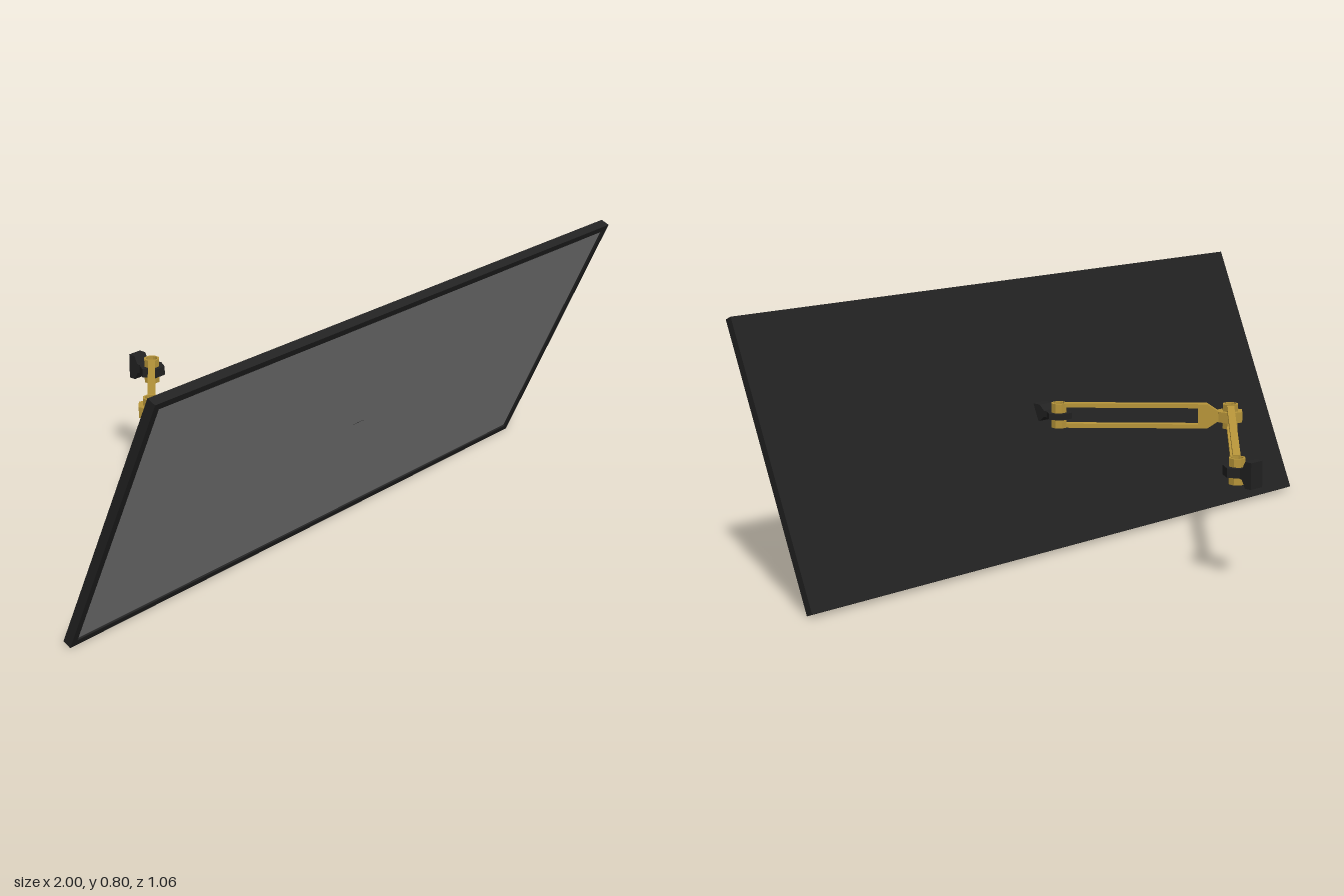
import * as THREE from 'three';

const black = new THREE.MeshStandardMaterial({ color: 0x222222, flatShading: true });
const gold = new THREE.MeshStandardMaterial({ color: 0xb8963a, flatShading: true });
const screenGrey = new THREE.MeshStandardMaterial({ color: 0x808080 });

function add(parent, name, geometry, material, x = 0, y = 0, z = 0) {
  const mesh = new THREE.Mesh(geometry, material);
  mesh.name = name;
  mesh.position.set(x, y, z);
  parent.add(mesh);
  return mesh;
}

// Upright polygonal ring, centred on its own height
function ringGeometry(radius, holeRadius, height, sides, turn = 0) {
  const points = Array.from({ length: sides }, (_, i) => {
    const a = turn + (i / sides) * Math.PI * 2;
    return new THREE.Vector2(Math.cos(a) * radius, Math.sin(a) * radius);
  });
  const shape = new THREE.Shape(points);
  const hole = new THREE.Path();
  hole.absarc(0, 0, holeRadius, 0, Math.PI * 2, true);
  shape.holes.push(hole);
  return new THREE.ExtrudeGeometry(shape, { depth: height, bevelEnabled: false, curveSegments: 6 })
    .translate(0, 0, -height / 2).rotateX(-Math.PI / 2);
}

// Hexagonal eye with a flared foot; profile lists [distance from pin, half height]
function knuckle(name, pin, angle, eyeHeight, profile, width, material) {
  const group = new THREE.Group();
  group.name = name;
  add(group, name + 'Eye', ringGeometry(0.042, 0.022, eyeHeight, 6, Math.PI / 6), material);
  const outline = [
    ...profile.map(([d, h]) => new THREE.Vector2(d, -h)),
    ...[...profile].reverse().map(([d, h]) => new THREE.Vector2(d, h)),
  ];
  const foot = new THREE.ExtrudeGeometry(new THREE.Shape(outline), { depth: width, bevelEnabled: false });
  add(group, name + 'Foot', foot.translate(0, 0, -width / 2), material);
  group.position.copy(pin);
  group.rotation.y = angle;
  return group;
}

// Pair of parallel bars between two points, trimmed at each end
function barPair(name, from, to, trimFrom, trimTo) {
  const group = new THREE.Group();
  group.name = name;
  const span = to.clone().sub(from);
  const dir = span.clone().normalize();
  const a = from.clone().addScaledVector(dir, trimFrom);
  const b = to.clone().addScaledVector(dir, -trimTo);
  for (const side of [-1, 1]) {
    const offset = new THREE.Vector3(0, side * 0.032, 0);
    const mid = a.clone().add(b).multiplyScalar(0.5).add(offset);
    const bar = add(group, side > 0 ? 'upperBar' : 'lowerBar',
      new THREE.BoxGeometry(0.022, 0.013, a.distanceTo(b)), gold, mid.x, mid.y, mid.z);
    bar.lookAt(b.clone().add(offset));
  }
  return group;
}

export function createModel() {
  const model = new THREE.Group();
  model.name = 'displayOnWallArm';

  // Tilted display: back plate, raised bezel and inset screen
  const display = new THREE.Group();
  display.name = 'display';
  display.position.set(0, 0.404, 0.349);
  display.rotation.x = 0.411;
  const W = 2, H = 0.86, B = 0.02;
  add(display, 'backPlate', new THREE.BoxGeometry(W, H, 0.02), black, 0, 0, -0.004);
  add(display, 'screen', new THREE.PlaneGeometry(W - 2 * B, H - 2 * B), screenGrey, 0, 0, 0.0085);
  for (const s of [-1, 1]) {
    add(display, 'bezelSide', new THREE.BoxGeometry(B, H, 0.008), black, s * (W - B) / 2, 0, 0.01);
    add(display, 'bezelRail', new THREE.BoxGeometry(W - 2 * B, B, 0.008), black, 0, s * (H - B) / 2, 0.01);
  }
  model.add(display);

  // Pin positions: display, elbow, wall
  const displayPin = new THREE.Vector3(0, 0.41, 0.255);
  const elbowPin = new THREE.Vector3(-0.374, 0.41, -0.122);
  const wallPin = new THREE.Vector3(-0.045, 0.354, -0.453);

  // Hollow hinge barrels
  for (const [name, p] of [['displayHinge', displayPin], ['elbowHinge', elbowPin], ['wallHinge', wallPin]]) {
    add(model, name, ringGeometry(0.025, 0.018, 0.077, 8, Math.PI / 8), gold, p.x, p.y, p.z);
  }

  // Front and rear arms
  model.add(barPair('frontArm', displayPin, elbowPin, 0.02, 0.08));
  model.add(barPair('rearArm', elbowPin, wallPin, 0.02, 0.02));

  // Knuckles at the display, elbow and wall
  model.add(knuckle('displayMount', displayPin, -Math.PI / 2, 0.019,
    [[0.033, 0.0095], [0.043, 0.01], [0.063, 0.026], [0.095, 0.026]], 0.048, black));
  model.add(knuckle('elbowKnuckle', elbowPin, -Math.PI / 4, 0.033,
    [[0.03, 0.016], [0.04, 0.017], [0.072, 0.0385], [0.1, 0.0385]], 0.026, gold));
  model.add(knuckle('wallMount', wallPin, Math.PI / 2, 0.028,
    [[0.033, 0.014], [0.041, 0.016], [0.053, 0.039], [0.076, 0.039]], 0.048, black));

  return model;
}
